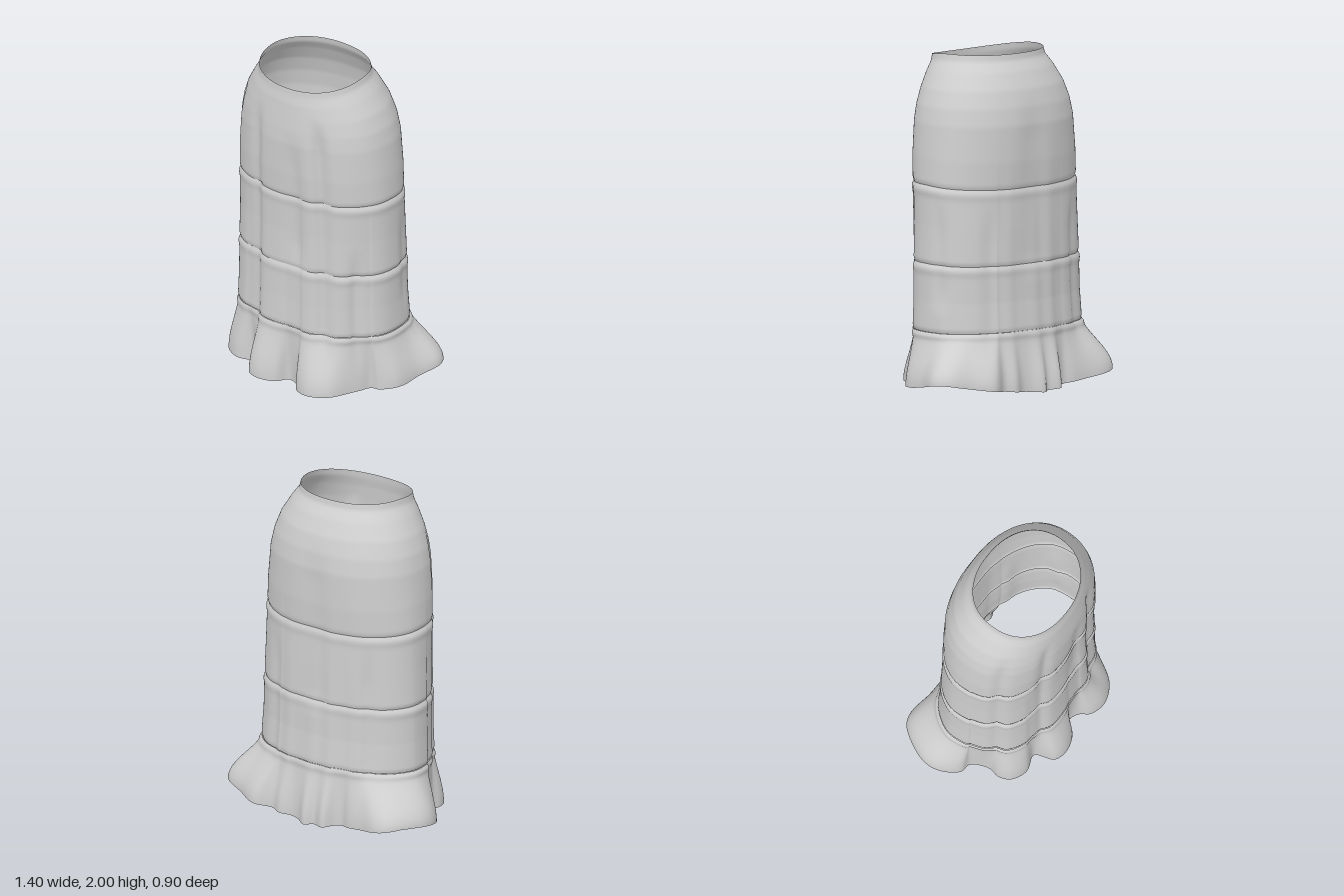
import * as THREE from 'three';

const SEGMENTS = 260;
const SEAMS = [1.24, 0.775, 0.37];

// Body profile: height, half width, front depth, back depth
const PROFILE = [
  [2.0, 0.34, 0.345, -0.228], [1.96, 0.35, 0.348, -0.235], [1.9, 0.392, 0.358, -0.275],
  [1.8, 0.45, 0.366, -0.322], [1.7, 0.488, 0.374, -0.35], [1.6, 0.51, 0.38, -0.365],
  [1.4, 0.53, 0.376, -0.364], [1.24, 0.538, 0.366, -0.355], [1.0, 0.542, 0.36, -0.36],
  [0.78, 0.55, 0.362, -0.362], [0.55, 0.553, 0.364, -0.366], [0.37, 0.562, 0.37, -0.38],
];

// Wavy outline of the hem, as x and z
const HEM = [
  [-0.5, -0.42], [-0.38, -0.4], [-0.28, -0.39], [-0.22, -0.37], [-0.18, -0.385], [-0.13, -0.447],
  [-0.05, -0.42], [0, -0.455], [0.07, -0.415], [0.13, -0.405], [0.2, -0.43], [0.27, -0.405],
  [0.38, -0.45], [0.52, -0.39], [0.65, -0.335], [0.7, -0.25], [0.66, -0.1], [0.63, 0.07],
  [0.55, 0.145], [0.5, 0.15], [0.47, 0.21], [0.44, 0.27], [0.37, 0.39], [0.25, 0.445],
  [0.15, 0.42], [0.1, 0.36], [0.03, 0.34], [-0.02, 0.41], [-0.13, 0.445], [-0.21, 0.42],
  [-0.235, 0.36], [-0.26, 0.305], [-0.37, 0.335], [-0.47, 0.29], [-0.5, 0.22], [-0.49, 0.15],
  [-0.54, 0.045], [-0.61, 0.03], [-0.69, -0.08], [-0.7, -0.18], [-0.64, -0.32], [-0.57, -0.4],
];

// Soft vertical folds: angle, angular width, depth, top, bottom
const FOLDS = [
  [112, 5, 0.022, 1.85, 0.37], [82, 6, 0.016, 1.7, 0.9], [62, 6, 0.03, 1.85, 0.37],
  [36, 6, 0.016, 1.0, 0.37], [150, 6, 0.016, 1.85, 0.37], [270, 9, 0.014, 1.8, 0.8],
  [343, 7, 0.01, 1.2, 0.6], [232, 6, 0.014, 1.2, 0.37], [302, 6, 0.012, 1.2, 0.37],
];

const { lerp, smoothstep, clamp } = THREE.MathUtils;

function profileAt(y) {
  let i = 0;
  while (i < PROFILE.length - 2 && PROFILE[i + 1][0] > y) i++;
  const a = PROFILE[i], b = PROFILE[i + 1];
  const t = clamp((a[0] - y) / (a[0] - b[0]), 0, 1);
  return a.map((v, k) => lerp(v, b[k], t));
}

const hemCurve = new THREE.CatmullRomCurve3(
  HEM.map(([x, z]) => new THREE.Vector3(x, 0, z)), true, 'centripetal');
const hemPoints = hemCurve.getSpacedPoints(SEGMENTS).slice(0, SEGMENTS).map((p) => {
  const nx = p.x / 0.63, nz = p.z / 0.42;
  return { x: p.x, z: p.z, angle: Math.atan2(nz, nx), wave: clamp(Math.hypot(nx, nz) - 1.04, -0.2, 0.1) };
});

// Point on the fitted body above one hem point
function bodyPoint(y, hem) {
  const [, half, front, back] = profileAt(y);
  const c = Math.cos(hem.angle), s = Math.sin(hem.angle);
  const round = (v) => Math.sign(v) * Math.abs(v) ** (2 / 2.2);
  let scale = 1 + hem.wave * 0.2 * (1 - smoothstep(y, 0.4, 1.7));
  const degrees = THREE.MathUtils.radToDeg(hem.angle);
  for (const [at, width, depth, top, bottom] of FOLDS) {
    const d = ((degrees - at + 540) % 360 + 360) % 360 - 180;
    const fade = smoothstep(y, bottom - 0.15, bottom + 0.05) * (1 - smoothstep(y, top - 0.3, top));
    scale -= (depth / 0.4) * fade * Math.exp(-((d / width) ** 2));
  }
  // Stitched groove with a slight puff below it
  for (const seam of SEAMS) {
    scale -= 0.016 * Math.exp(-(((y - seam) / 0.012) ** 2));
    scale += 0.01 * Math.exp(-(((y - seam + 0.035) / 0.025) ** 2));
  }
  const middle = (front + back) / 2;
  const z = middle + round(s) * (front - back) / 2 * scale;
  // The waist drops at the front and the seams sag at the back
  const drop = 0.05 * smoothstep(y, 1.6, 2) * clamp(z / 0.345, 0, 1) ** 1.5
    + 0.025 * clamp(-z / 0.36, 0, 1) * (1 - smoothstep(y, 1.3, 1.8)) * smoothstep(y, 0.4, 1.2);
  return [round(c) * half * scale, y - drop, z];
}

// Point on the flared flounce, t from 0 at its seam to 1 at the hem
function flouncePoint(t, hem) {
  const [x, y, z] = bodyPoint(SEAMS[2], hem);
  const blend = 0.45 * Math.sin(t * Math.PI / 2) + 0.55 * smoothstep(t, 0, 1);
  const side = Math.abs(hem.x) / 0.65;
  const hemY = 0.003 + 0.04 * side ** 2 + 0.045 * side * clamp(-hem.z / 0.33, 0, 1);
  const puff = 1 + 0.02 * Math.exp(-(((t - 0.06) / 0.06) ** 2));
  return [lerp(x, hem.x, blend) * puff, lerp(y, hemY, t), lerp(z, hem.z, blend) * puff];
}

// Closed tube of cloth built row by row from top to bottom
function clothTube(name, rows, pointAt, material) {
  const positions = [], index = [];
  for (let r = 0; r <= rows; r++) {
    for (const hem of hemPoints) positions.push(...pointAt(r / rows, hem));
  }
  for (let r = 0; r < rows; r++) {
    for (let i = 0; i < SEGMENTS; i++) {
      const a = r * SEGMENTS + i, b = r * SEGMENTS + (i + 1) % SEGMENTS;
      index.push(a, b, a + SEGMENTS, b, b + SEGMENTS, a + SEGMENTS);
    }
  }
  const geometry = new THREE.BufferGeometry();
  geometry.setAttribute('position', new THREE.Float32BufferAttribute(positions, 3));
  geometry.setIndex(index);
  geometry.computeVertexNormals();
  const mesh = new THREE.Mesh(geometry, material);
  mesh.name = name;
  return mesh;
}

export function createModel() {
  const group = new THREE.Group();
  group.name = 'skirt';
  const cloth = new THREE.MeshStandardMaterial({ color: 0xcfcfcf, side: THREE.DoubleSide });
  cloth.name = 'pale grey cloth';

  const tiers = [
    ['hipYoke', 2.0, SEAMS[0], 60],
    ['middleTier', SEAMS[0], SEAMS[1], 44],
    ['lowerTier', SEAMS[1], SEAMS[2], 40],
  ];
  for (const [name, top, bottom, rows] of tiers) {
    group.add(clothTube(name, rows, (t, hem) => bodyPoint(lerp(top, bottom, t), hem), cloth));
  }
  group.add(clothTube('flounce', 36, flouncePoint, cloth));
  return group;
}
